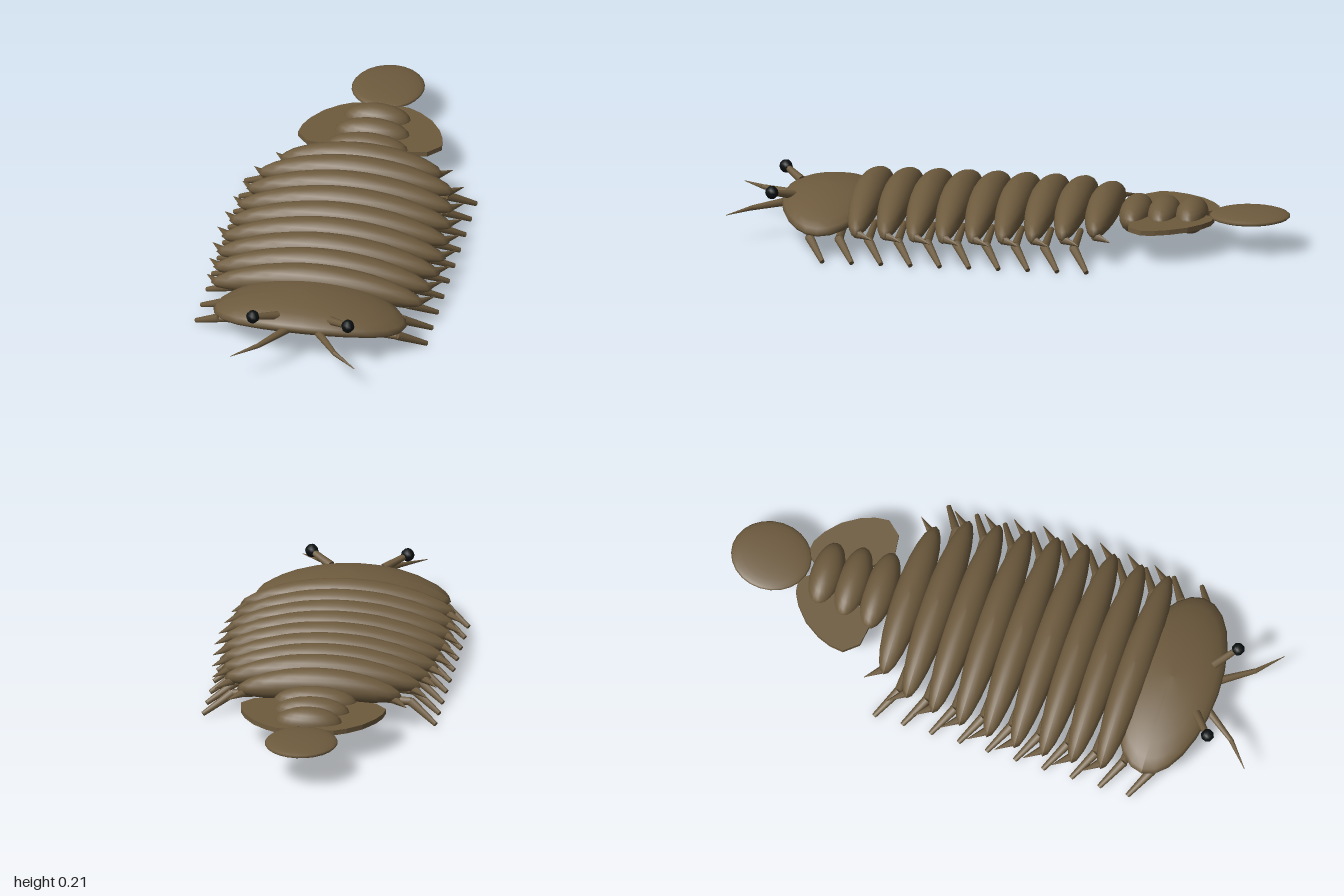
import * as THREE from 'three';

const shell = new THREE.MeshStandardMaterial({ color: 0x6e5b3e });
shell.name = 'brown shell';
const black = new THREE.MeshStandardMaterial({ color: 0x0a0f10 });
black.name = 'eye black';

function add(parent, name, geometry, material = shell) {
  const mesh = new THREE.Mesh(geometry, material);
  mesh.name = name;
  parent.add(mesh);
  return mesh;
}

// Ellipsoid whose sides droop with the square of x
function plate(rx, ry, rz, droop, x, y, z) {
  const g = new THREE.SphereGeometry(1, 24, 12).scale(rx, ry, rz);
  const p = g.attributes.position;
  for (let i = 0; i < p.count; i++) p.setY(i, p.getY(i) - droop * (p.getX(i) / rx) ** 2);
  if (droop) g.computeVertexNormals();
  return g.translate(x, y, z);
}

// Tapered rod from a (radius ra) to b (radius rb)
function rod(a, b, ra, rb, sides = 8) {
  const from = new THREE.Vector3(...a), to = new THREE.Vector3(...b);
  const dir = to.clone().sub(from);
  const g = new THREE.CylinderGeometry(rb, ra, dir.length(), sides);
  g.applyQuaternion(new THREE.Quaternion().setFromUnitVectors(
    new THREE.Vector3(0, 1, 0), dir.clone().normalize()));
  const mid = from.add(to).multiplyScalar(0.5);
  return g.translate(mid.x, mid.y, mid.z);
}

export function createModel() {
  const model = new THREE.Group();
  model.name = 'crustacean';

  // Head shield
  add(model, 'head', plate(0.35, 0.054, 0.17, 0.046, 0, 0.138, 0.65));

  // Nine overlapping back plates
  const widths = [0.386, 0.397, 0.405, 0.407, 0.4, 0.39, 0.376, 0.354, 0.295];
  widths.forEach((w, i) => {
    const z = 0.508 - i * 0.1055;
    const y = i === 8 ? 0.146 : 0.157;
    add(model, 'backPlate', plate(w, 0.06, 0.06, 0.34 * w * w, 0, y, z));
    // Backward spine at each end of the plate
    for (const s of [1, -1]) {
      add(model, 'sideSpine', rod([s * (w - 0.03), 0.105, z], [s * (w + 0.025), 0.097, z - 0.064], 0.018, 0.001, 6));
    }
  });

  // Three narrow tail rings and the flat tail paddle
  [0.15, 0.137, 0.122].forEach((w, i) => {
    add(model, 'tailRing', plate(w, 0.06, 0.058, 0, 0, 0.12, -0.447 - i * 0.1));
  });
  add(model, 'tailPaddle', plate(0.13, 0.02, 0.145, 0, 0, 0.128, -0.855));

  for (const s of [1, -1]) {
    // Thin fan plates beside the tail
    const outline = [[0.05, -0.735], [0.1, -0.73], [0.145, -0.705], [0.196, -0.66], [0.235, -0.6], [0.254, -0.55],
      [0.26, -0.5], [0.217, -0.45], [0.143, -0.44], [0.08, -0.5], [0.03, -0.62], [0.025, -0.7]];
    const fan = new THREE.Shape(outline.map(([x, z]) => new THREE.Vector2(s * x, -z)));
    const fanGeometry = new THREE.ExtrudeGeometry(fan, { depth: 0.018, bevelEnabled: false });
    add(model, 'tailFan', fanGeometry.rotateX(-Math.PI / 2).translate(0, 0.111, 0));

    // Ten walking legs
    for (let i = 0; i < 10; i++) {
      const z = 0.62 - i * 0.1055;
      const leg = new THREE.Group();
      leg.name = 'leg';
      const knee = [s * 0.32, 0.071, z + 0.06];
      add(leg, 'upperLeg', rod([s * 0.12, 0.08, z + 0.065], knee, 0.011, 0.016));
      add(leg, 'lowerLeg', rod(knee, [s * 0.417, 0.011, z], 0.017, 0.009));
      model.add(leg);
    }

    // Two-part antenna
    const bend = [s * 0.138, 0.119, 0.915];
    add(model, 'antennaBase', rod([s * 0.05, 0.126, 0.79], bend, 0.016, 0.009));
    add(model, 'antennaTip', rod(bend, [s * 0.225, 0.113, 0.995], 0.009, 0.001));

    // Stalked eye
    add(model, 'eyeStalk', rod([s * 0.095, 0.162, 0.77], [s * 0.17, 0.188, 0.835], 0.016, 0.011));
    add(model, 'eye', new THREE.SphereGeometry(0.024, 8, 6).translate(s * 0.172, 0.189, 0.838), black);
  }
  return model;
}
